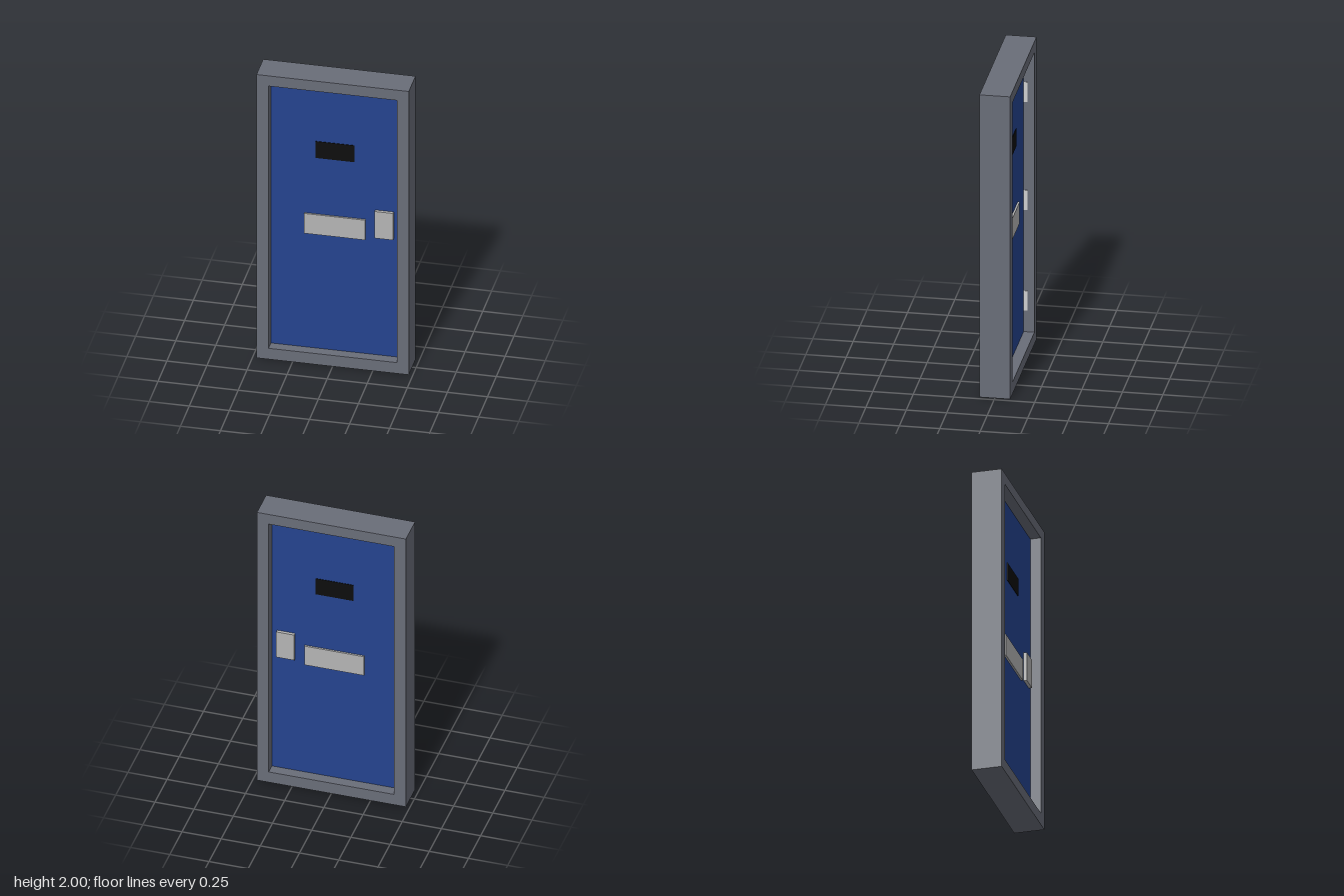
import * as THREE from 'three';

export function createModel() {
  const model = new THREE.Group();
  model.name = 'door';

  const material = (name, color) => {
    const m = new THREE.MeshStandardMaterial({ color });
    m.name = name;
    return m;
  };
  const frameGrey = material('frameGrey', 0x696d78);
  const doorBlue = material('doorBlue', 0x24438e);
  const plateSilver = material('plateSilver', 0xb4b4b4);
  const hingeSilver = material('hingeSilver', 0xd0d0d0);
  const windowBlack = material('windowBlack', 0x0d0d0d);

  const add = (name, geometry, mat) => {
    const mesh = new THREE.Mesh(geometry, mat);
    mesh.name = name;
    model.add(mesh);
    return mesh;
  };
  const box = (name, w, h, d, x, y, z, mat) =>
    add(name, new THREE.BoxGeometry(w, h, d), mat).position.set(x, y, z);

  // Surrounding frame: a rectangle with the doorway cut out
  const rectangle = (Type, x, y0, y1) =>
    new Type([[-x, y0], [x, y0], [x, y1], [-x, y1]].map(p => new THREE.Vector2(...p)));
  const outline = rectangle(THREE.Shape, 0.475, 0, 2);
  outline.holes.push(rectangle(THREE.Path, 0.4, 0.077, 1.928));
  const frame = new THREE.ExtrudeGeometry(outline, { depth: 0.19, bevelEnabled: false });
  frame.translate(0, 0, -0.095);
  add('frame', frame, frameGrey);

  // Recessed door leaf
  const face = 0.028;
  box('doorLeaf', 0.802, 1.853, face * 2, 0, 1.0025, 0, doorBlue);

  // Viewing window, push plate and lock plate on both sides of the leaf
  for (const [side, s] of [['front', 1], ['back', -1]]) {
    const plate = (name, w, h, d, x, y, mat) =>
      box(side + name, w, h, d, x, y, s * (face + d / 2), mat);
    plate('Window', 0.242, 0.117, 0.003, 0, 1.478, windowBlack);
    plate('PushPlate', 0.38, 0.14, 0.012, 0, 0.954, plateSilver);
    plate('LockPlate', 0.115, 0.188, 0.02, 0.309, 1.004, plateSilver);
  }

  // Three hinges on the back, where the leaf meets the jamb
  for (const y of [0.285, 0.95, 1.665])
    box('hinge', 0.012, 0.13, 0.024, -0.4, y, -face - 0.012, hingeSilver);

  return model;
}
